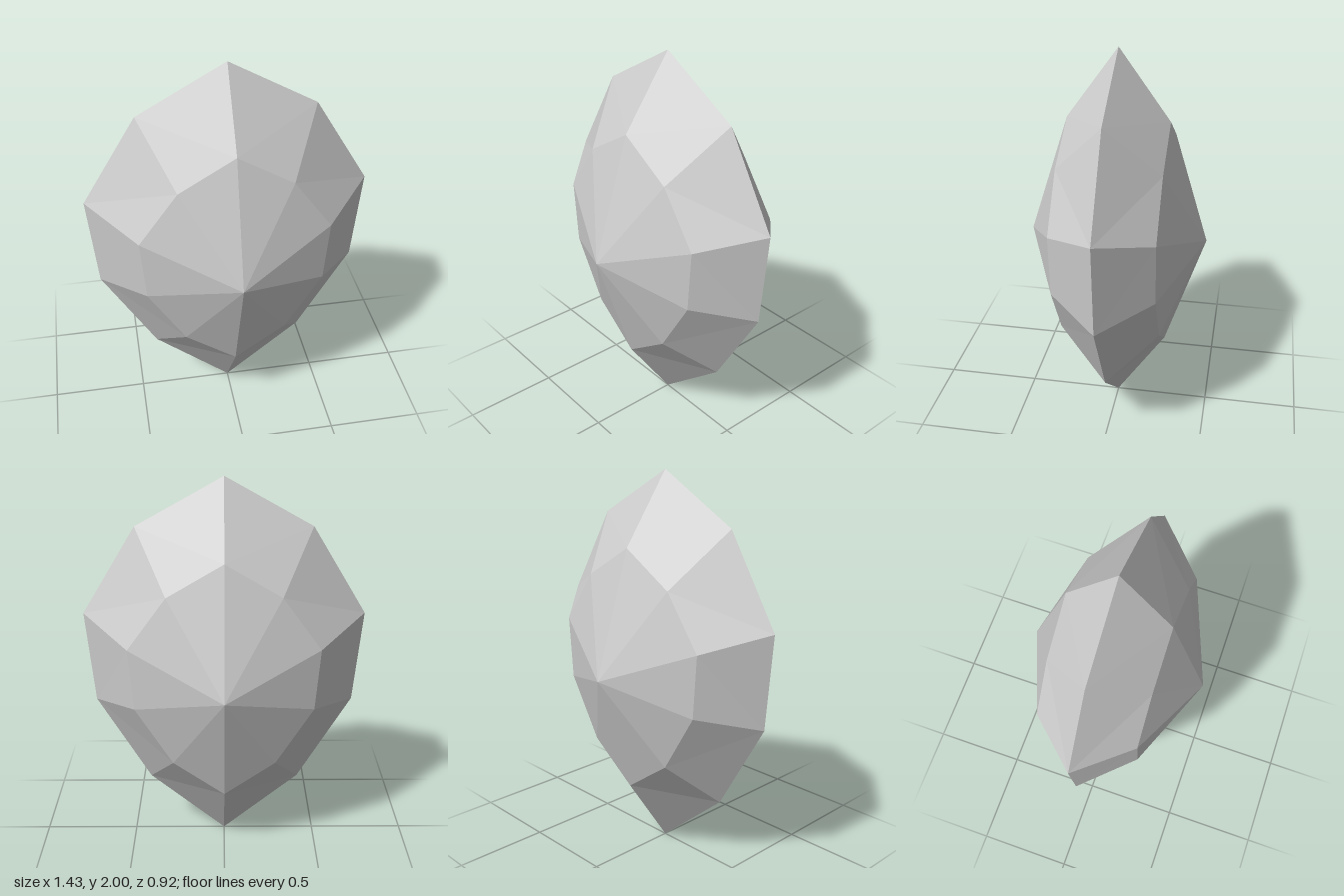
import * as THREE from 'three';

// Half outlines from top to bottom: [x, y]
const RIM = [[0, 2], [0.44, 1.755], [0.717, 1.305], [0.677, 0.82], [0.403, 0.343], [0, 0]];
const FACET = [[0, 1.642], [0.28, 1.475], [0.475, 1.207], [0.452, 0.885], [0.264, 0.575], [0, 0.385]];
const FACET_Z = 0.258;
const APEX = [0, 1.01, 0.46];

// One face of the gem (side = 1 front, -1 back): a fan around the apex and a bevel ring
function createFace(side) {
  const positions = [];
  for (const mirror of [1, -1]) {
    const tri = (a, b, c) => {
      const corners = mirror * side > 0 ? [a, b, c] : [a, c, b];
      for (const [x, y, z] of corners) positions.push(x * mirror, y, z * side);
    };
    const rim = RIM.map(([x, y]) => [x, y, 0]);
    const facet = FACET.map(([x, y]) => [x, y, FACET_Z]);
    for (let i = 0; i < rim.length - 1; i++) {
      const [a, b, c, d] = [facet[i], facet[i + 1], rim[i + 1], rim[i]];
      tri(APEX, b, a);
      // Bevel quads are creased towards the nearer tip
      if (i < 3) {
        tri(a, b, c);
        tri(a, c, d);
      } else {
        tri(a, b, d);
        tri(b, c, d);
      }
    }
  }
  const geometry = new THREE.BufferGeometry();
  geometry.setAttribute('position', new THREE.Float32BufferAttribute(positions, 3));
  geometry.computeVertexNormals();
  return geometry;
}

export function createModel() {
  const group = new THREE.Group();
  group.name = 'gem';
  const stone = new THREE.MeshStandardMaterial({ color: 0xcccccc, flatShading: true });
  stone.name = 'pale grey stone';

  for (const [name, side] of [['frontFacets', 1], ['backFacets', -1]]) {
    const mesh = new THREE.Mesh(createFace(side), stone);
    mesh.name = name;
    group.add(mesh);
  }
  return group;
}
